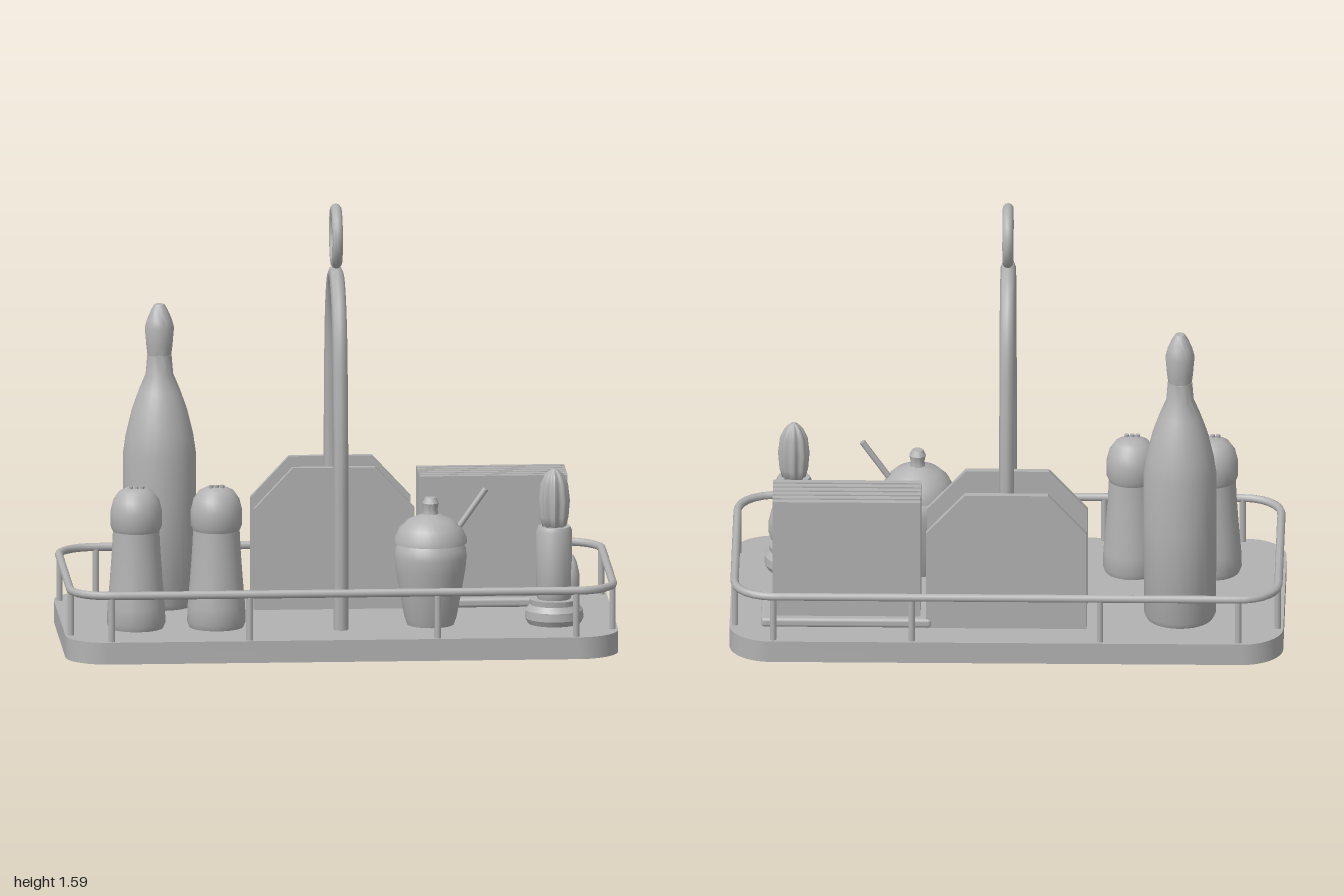
import * as THREE from 'three';
import { toCreasedNormals } from 'three/addons/utils/BufferGeometryUtils.js';
import { RoundedBoxGeometry } from 'three/addons/geometries/RoundedBoxGeometry.js';

const FLOOR = 0.08; // top of the tray

function roundedRect(hx, hz, r) {
  const s = new THREE.Shape();
  s.moveTo(-hx + r, -hz);
  s.lineTo(hx - r, -hz);
  s.absarc(hx - r, -hz + r, r, -Math.PI / 2, 0);
  s.absarc(hx - r, hz - r, r, 0, Math.PI / 2);
  s.absarc(-hx + r, hz - r, r, Math.PI / 2, Math.PI);
  s.absarc(-hx + r, -hz + r, r, Math.PI, Math.PI * 1.5);
  return s;
}

// Turned solid from [radius, height] pairs, bottom to top
function turned(profile, sides = 28) {
  const pts = profile.map(([r, y]) => new THREE.Vector2(r, y));
  return toCreasedNormals(new THREE.LatheGeometry(pts, sides), 0.55);
}

export function createModel() {
  const model = new THREE.Group();
  const grey = new THREE.MeshStandardMaterial({ color: 0xb2b2b2 });
  grey.name = 'grey';

  function add(name, geometry, x = 0, y = 0, z = 0, parent = model) {
    const mesh = new THREE.Mesh(geometry, grey);
    mesh.name = name;
    mesh.position.set(x, y, z);
    parent.add(mesh);
    return mesh;
  }
  function group(name, x, z) {
    const g = new THREE.Group();
    g.name = name;
    g.position.set(x, 0, z);
    model.add(g);
    return g;
  }

  // Tray
  const tray = new THREE.ExtrudeGeometry(roundedRect(1, 0.487, 0.15),
    { depth: FLOOR, bevelEnabled: false, curveSegments: 10 });
  tray.rotateX(-Math.PI / 2);
  add('tray', toCreasedNormals(tray, 0.6));

  // Rail round the tray, on thin posts
  const loop = roundedRect(0.982, 0.468, 0.14).getSpacedPoints(120).slice(0, -1)
    .map(p => new THREE.Vector3(p.x, 0.248, -p.y));
  add('rail', new THREE.TubeGeometry(new THREE.CatmullRomCurve3(loop, true), 160, 0.015, 8, true));
  const post = new THREE.CylinderGeometry(0.012, 0.012, 0.17, 10);
  for (const side of [-1, 1]) {
    for (const x of [-0.84, -0.34, 0.34, 0.84]) add('railPost', post, x, 0.165, side * 0.466);
    for (const z of [-0.33, 0.33]) add('railPost', post, side * 0.98, 0.165, z);
  }

  // Arched carrying handle with a ring on top
  const half = [[0.285, 0.07], [0.288, 0.4], [0.285, 0.7], [0.267, 0.9], [0.234, 1.1],
    [0.195, 1.2], [0.135, 1.28], [0.068, 1.323]];
  const arch = [...half, [0, 1.336], ...half.slice().reverse().map(([z, y]) => [-z, y])]
    .map(([z, y]) => new THREE.Vector3(0, y, z));
  add('handle', new THREE.TubeGeometry(new THREE.CatmullRomCurve3(arch), 60, 0.027, 8));
  add('handleRing', new THREE.TorusGeometry(0.098, 0.02, 10, 28).rotateY(Math.PI / 2), 0, 1.472, 0);

  // Bottle with stopper
  const bottle = group('bottle', -0.625, -0.226);
  add('bottleBody', turned([[0, FLOOR], [0.12, FLOOR], [0.13, 0.1], [0.132, 0.45], [0.132, 0.64],
    [0.122, 0.71], [0.1, 0.8], [0.075, 0.87], [0.05, 0.93], [0.044, 1.0], [0, 1.0]]), 0, 0, 0, bottle);
  add('bottleStopper', turned([[0, 1.0], [0.043, 1.0], [0.047, 1.03], [0.053, 1.1], [0.045, 1.13],
    [0.03, 1.165], [0.018, 1.185], [0, 1.19]]), 0, 0, 0, bottle);

  // Salt and pepper shakers
  const shakerBody = turned([[0, FLOOR], [0.098, FLOOR], [0.106, 0.1], [0.104, 0.16], [0.096, 0.25],
    [0.088, 0.36], [0.084, 0.44], [0, 0.44]]);
  const shakerCap = turned([[0, 0.435], [0.084, 0.435], [0.093, 0.455], [0.093, 0.51], [0.083, 0.55],
    [0.062, 0.58], [0.035, 0.593], [0, 0.596]]);
  const hole = new THREE.CylinderGeometry(0.008, 0.008, 0.014, 8);
  for (const x of [-0.735, -0.445]) {
    const shaker = group('shaker', x, 0.197);
    add('shakerBody', shakerBody, 0, 0, 0, shaker);
    add('shakerCap', shakerCap, 0, 0, 0, shaker);
    for (const dx of [-0.02, 0, 0.02]) add('shakerHole', hole, dx, 0.596, 0.02, shaker);
  }

  // Napkin holder: two upright plates with cut corners
  const plate = new THREE.Shape([[-0.29, FLOOR], [0.29, FLOOR], [0.29, 0.45], [0.15, 0.6],
    [-0.15, 0.6], [-0.29, 0.45]].map(p => new THREE.Vector2(...p)));
  const plateGeometry = new THREE.ExtrudeGeometry(plate, { depth: 0.026, bevelEnabled: false });
  for (const z of [-0.353, -0.128]) add('napkinPlate', plateGeometry, 0, 0, z);

  // Stack of upright cards on a small base
  add('cardBase', new RoundedBoxGeometry(0.615, 0.035, 0.265, 2, 0.012), 0.578, 0.0975, -0.226);
  const card = new THREE.BoxGeometry(0.535, 0.455, 0.025);
  for (let i = 0; i < 6; i++) add('card', card, 0.578, 0.3325, -0.317 + i * 0.0364);

  // Sugar pot, lid and spoon
  const pot = group('sugarPot', 0.33, 0.197);
  add('potBody', turned([[0, FLOOR], [0.085, FLOOR], [0.095, 0.11], [0.112, 0.2], [0.126, 0.28],
    [0.131, 0.33], [0.127, 0.36], [0.112, 0.385], [0, 0.385]]), 0, 0, 0, pot);
  add('potLid', turned([[0, 0.38], [0.132, 0.38], [0.13, 0.4], [0.112, 0.435], [0.08, 0.465],
    [0.028, 0.485], [0.025, 0.5], [0.03, 0.525], [0.02, 0.545], [0, 0.548]]), 0, 0, 0, pot);
  const spoon = new THREE.LineCurve3(new THREE.Vector3(0.07, 0.39, 0), new THREE.Vector3(0.2, 0.575, 0));
  const stick = add('spoon', new THREE.CylinderGeometry(0.011, 0.011, 0.226, 10), 0, 0, 0, pot);
  stick.position.copy(spoon.getPoint(0.5));
  stick.quaternion.setFromUnitVectors(new THREE.Vector3(0, 1, 0), spoon.getTangent(0));

  // Potted dispenser: foot, barrel, fluted tip and side bud
  const dispenser = group('dispenser', 0.777, 0.2);
  add('foot', turned([[0, FLOOR], [0.095, FLOOR], [0.106, 0.1], [0.104, 0.13], [0.088, 0.15],
    [0.09, 0.17], [0, 0.17]]), 0, 0, 0, dispenser);
  add('barrel', turned([[0, 0.165], [0.058, 0.165], [0.065, 0.185], [0.065, 0.42], [0.058, 0.435],
    [0, 0.435]]), 0, 0, 0, dispenser);
  const tip = new THREE.LatheGeometry([[0, 0.43], [0.042, 0.43], [0.052, 0.47], [0.057, 0.53],
    [0.05, 0.59], [0.034, 0.625], [0.014, 0.642], [0, 0.645]].map(p => new THREE.Vector2(...p)), 48);
  const pos = tip.attributes.position;
  for (let i = 0; i < pos.count; i++) {
    const x = pos.getX(i), z = pos.getZ(i);
    const k = 0.9 + 0.1 * Math.cos(8 * Math.atan2(z, x));
    pos.setXYZ(i, x * k, pos.getY(i), z * k);
  }
  tip.computeVertexNormals();
  add('flutedTip', tip, 0, 0, 0, dispenser);
  add('sideBud', turned([[0, 0.185], [0.02, 0.19], [0.029, 0.22], [0.028, 0.26], [0.018, 0.305],
    [0.007, 0.328], [0, 0.33]], 16), 0.063, 0, 0, dispenser);

  return model;
}
